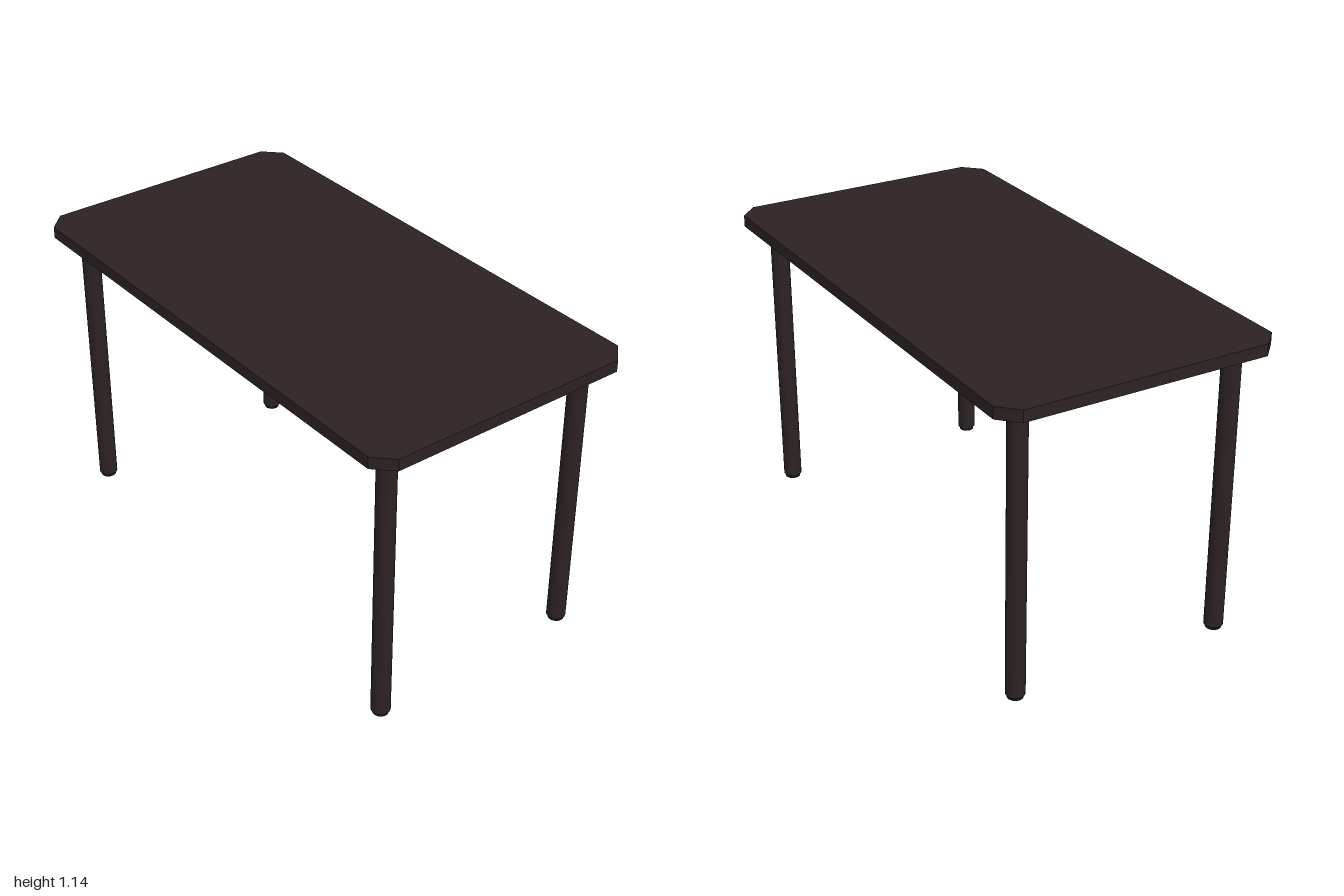
import * as THREE from 'three';

export function createModel() {
  const wood = new THREE.MeshStandardMaterial({ name: 'darkWood', color: 0x2c2222 });
  const black = new THREE.MeshStandardMaterial({ name: 'blackFittings', color: 0x171313 });
  const table = new THREE.Group();
  table.name = 'table';

  const TOP = 1.14, UNDER = 1.096, PLATE = 0.007, FOOT = 0.014;

  // Tabletop: rectangle with clipped corners
  const w = 1, d = 0.53, c = 0.066;
  const outline = new THREE.Shape([
    [w - c, -d], [w, -d + c], [w, d - c], [w - c, d],
    [-w + c, d], [-w, d - c], [-w, -d + c], [-w + c, -d],
  ].map(([x, y]) => new THREE.Vector2(x, y)));
  const topGeometry = new THREE.ExtrudeGeometry(outline, { depth: TOP - UNDER, bevelEnabled: false });
  topGeometry.rotateX(-Math.PI / 2);
  const top = new THREE.Mesh(topGeometry, wood);
  top.name = 'tabletop';
  top.position.y = UNDER;
  table.add(top);

  // Upright cylinder spanning two heights
  const addRod = (parent, name, radius, y0, y1, material) => {
    const rod = new THREE.Mesh(new THREE.CylinderGeometry(radius, radius, y1 - y0, 32), material);
    rod.name = name;
    rod.position.y = (y0 + y1) / 2;
    parent.add(rod);
  };

  // Four legs, each with a mounting plate and a foot
  for (const [side, sx] of [['Left', 1], ['Right', -1]]) {
    for (const [end, sz] of [['front', 1], ['back', -1]]) {
      const leg = new THREE.Group();
      leg.name = `${end}${side}Leg`;
      leg.position.set(sx * 0.882, 0, sz * 0.412);
      addRod(leg, 'mountingPlate', 0.069, UNDER - PLATE, UNDER, black);
      addRod(leg, 'legTube', 0.035, FOOT, UNDER - PLATE, wood);
      addRod(leg, 'foot', 0.029, 0, FOOT, black);
      table.add(leg);
    }
  }
  return table;
}
